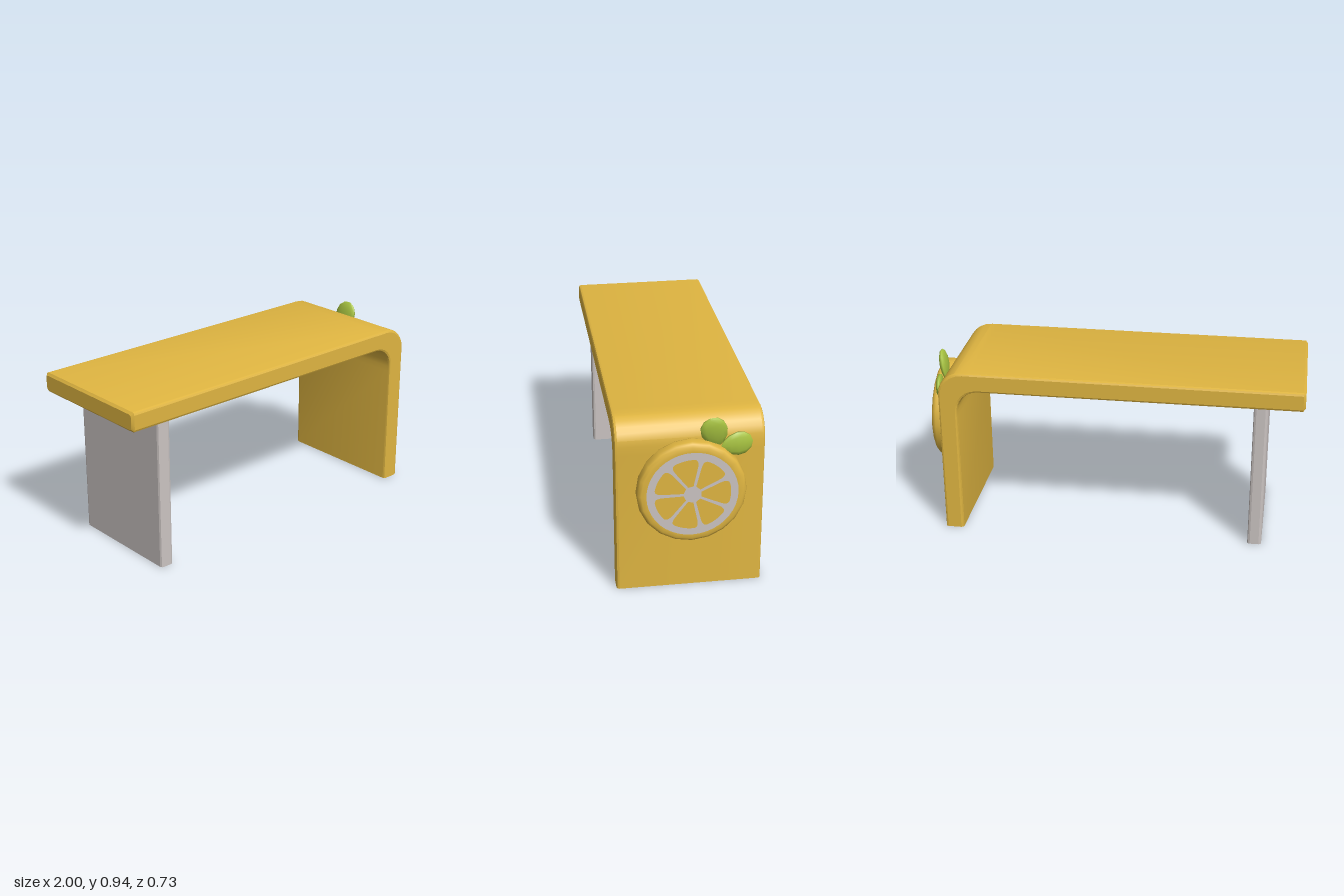
import * as THREE from 'three';
import { toCreasedNormals } from 'three/addons/utils/BufferGeometryUtils.js';

// Loft of rounded-rectangle sections, each spanning an inner to an outer [x, y] point; last end stays open
function loft(sections, halfWidth, bevel) {
  const pos = [], idx = [], n = 12;
  for (const { inner, outer, inset = 0 } of sections) {
    const a = new THREE.Vector2(...inner), b = new THREE.Vector2(...outer);
    const mid = a.clone().add(b).multiplyScalar(0.5);
    const dir = b.clone().sub(a).normalize();
    const hs = a.distanceTo(b) / 2 - inset - bevel, hz = halfWidth - inset - bevel;
    for (let c = 0; c < 4; c++) {
      const ss = c === 0 || c === 3 ? 1 : -1, sz = c < 2 ? 1 : -1;
      for (let k = 0; k < 3; k++) {
        const t = (c + k / 2) * Math.PI / 2;
        const s = ss * hs + bevel * Math.cos(t);
        pos.push(mid.x + dir.x * s, mid.y + dir.y * s, sz * hz + bevel * Math.sin(t));
      }
    }
  }
  for (let i = 0; i < sections.length - 1; i++) {
    for (let j = 0; j < n; j++) {
      const p = i * n + j, q = i * n + (j + 1) % n;
      idx.push(p, q, q + n, p, q + n, p + n);
    }
  }
  for (let j = 1; j < n - 1; j++) idx.push(0, j + 1, j); // closed first end
  const g = new THREE.BufferGeometry();
  g.setAttribute('position', new THREE.Float32BufferAttribute(pos, 3));
  g.setIndex(idx);
  return toCreasedNormals(g, 0.35);
}

// One citrus segment with rounded outer corners, centred on an angle
function segmentShape(mid) {
  const P = (r, a) => [r * Math.cos(mid + a), r * Math.sin(mid + a)];
  const s = new THREE.Shape();
  s.moveTo(...P(0.045, -0.3));
  s.lineTo(...P(0.15, -0.39));
  s.quadraticCurveTo(...P(0.187, -0.39), ...P(0.188, -0.27));
  for (let k = 1; k <= 6; k++) s.lineTo(...P(0.188, -0.27 + 0.09 * k));
  s.quadraticCurveTo(...P(0.187, 0.39), ...P(0.15, 0.39));
  s.lineTo(...P(0.045, 0.3));
  s.closePath();
  return s;
}

export function createModel() {
  const group = new THREE.Group();
  const mat = (name, color, side = THREE.FrontSide) => {
    const m = new THREE.MeshStandardMaterial({ color, side });
    m.name = name;
    return m;
  };
  const yellow = mat('orange yellow', 0xdfb541, THREE.DoubleSide);
  const pale = mat('pale grey', 0xcbc4c2, THREE.DoubleSide);
  const green = mat('leaf green', 0xa8c441);
  const add = (parent, name, geometry, material) => {
    const m = new THREE.Mesh(geometry, material);
    m.name = name;
    parent.add(m);
    return m;
  };

  // Seat slab bending down into the right-hand leg
  const bench = [
    { inner: [-1, 0.818], outer: [-1, 0.922], inset: 0.012 },
    { inner: [-0.988, 0.818], outer: [-0.988, 0.922] },
    { inner: [0.67, 0.818], outer: [0.75, 0.922] },
  ];
  for (let k = 0; k <= 6; k++) {
    const t = Math.PI / 2 * (1 - k / 6), c = Math.cos(t), s = Math.sin(t);
    bench.push({ inner: [0.7 + 0.118 * c, 0.7 + 0.118 * s], outer: [0.79 + 0.128 * c, 0.794 + 0.128 * s] });
  }
  bench.push({ inner: [0.818, 0.67], outer: [0.918, 0.75] });
  bench.push({ inner: [0.818, 0], outer: [0.918, 0] });
  add(group, 'seatAndLeg', loft(bench, 0.367, 0.014), yellow);

  // Separate pale leg
  add(group, 'paleLeg', loft([
    { inner: [-0.813, 0.825], outer: [-0.738, 0.825] },
    { inner: [-0.813, 0], outer: [-0.738, 0] },
  ], 0.322, 0.014), pale);

  // Fruit slice on the outer face; local z points outward
  const fruit = new THREE.Group();
  fruit.name = 'fruitSlice';
  fruit.position.set(0.915, 0.56, 0);
  fruit.rotation.y = Math.PI / 2;
  group.add(fruit);

  const rim = [[0, 0], [0.254, 0], [0.265, 0.007], [0.27, 0.02], [0.27, 0.055],
    [0.264, 0.07], [0.25, 0.079], [0.228, 0.08], [0, 0.08]].map(p => new THREE.Vector2(...p));
  const rind = new THREE.LatheGeometry(rim, 20);
  rind.rotateX(Math.PI / 2);
  add(fruit, 'rind', rind, yellow);
  add(fruit, 'pith', new THREE.CircleGeometry(0.225, 40), pale).position.z = 0.0825;
  for (let k = 0; k < 7; k++) {
    const shape = segmentShape(k * Math.PI * 2 / 7);
    add(fruit, 'fruitSegment', new THREE.ShapeGeometry(shape, 6), yellow).position.z = 0.085;
  }

  // Two flattened leaves growing from a shared point on the rim
  const leafProfile = [[0, 0], [0.03, 0.018], [0.054, 0.05], [0.067, 0.09], [0.061, 0.13],
    [0.037, 0.16], [0, 0.173]].map(p => new THREE.Vector2(...p));
  const leaf = (name, x, y, z, turn, tilt, size) => {
    const g = new THREE.LatheGeometry(leafProfile, 10);
    g.scale(size, size, 0.3 * size);
    g.rotateX(tilt);
    g.rotateZ(turn);
    g.rotateY(Math.PI / 2);
    add(group, name, g, green).position.set(x, y, z);
  };
  leaf('uprightLeaf', 0.927, 0.776, -0.138, 0.3, 0.18, 1.02);
  leaf('sideLeaf', 0.952, 0.783, -0.142, -1.48, -0.12, 0.94);

  return group;
}
